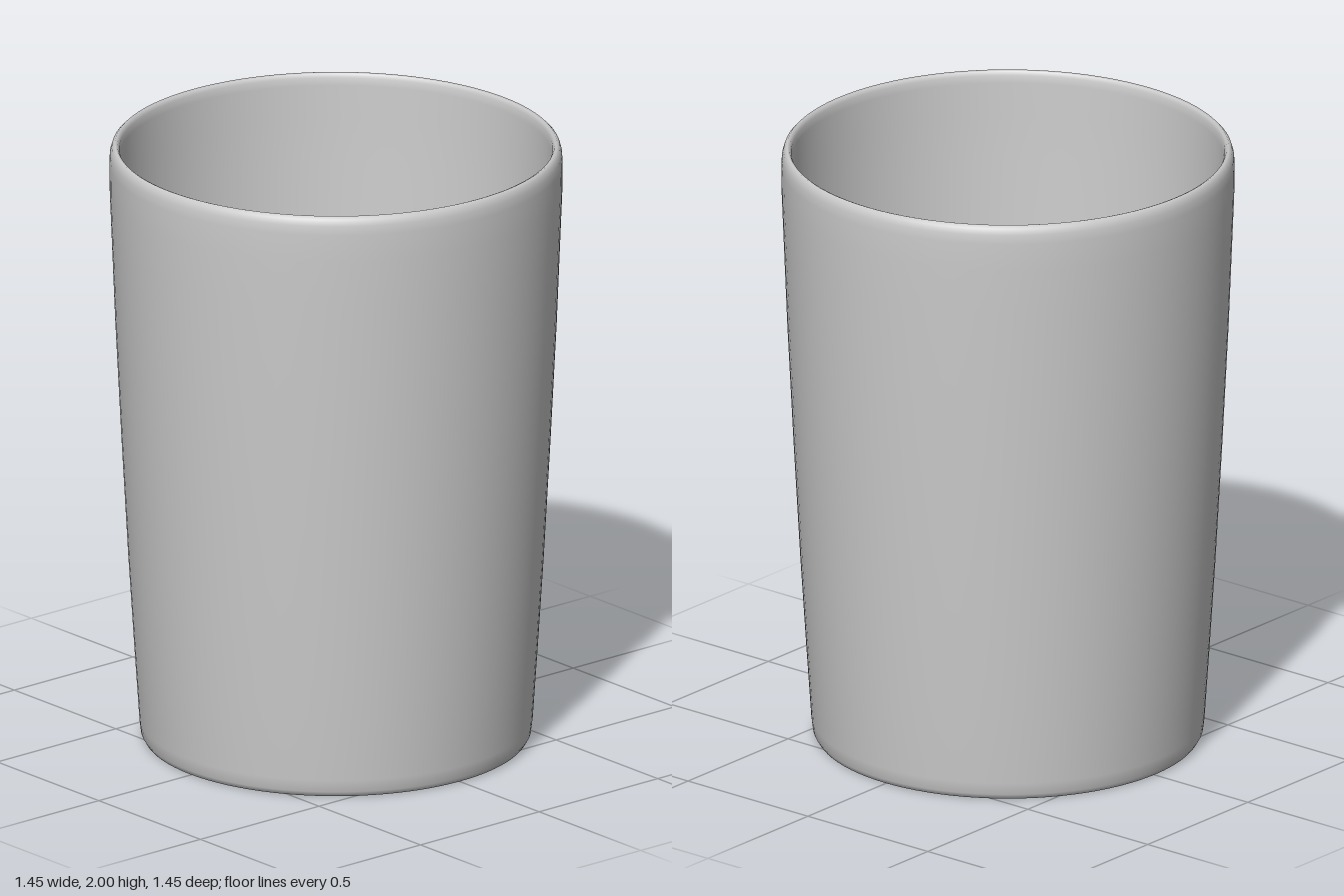
import * as THREE from 'three';

const material = new THREE.MeshStandardMaterial({ color: 0xcccccc, side: THREE.DoubleSide });

// Revolves a list of [radius, height] pairs around the y axis
function revolve(name, profile, segments) {
  const points = profile.map(([r, y]) => new THREE.Vector2(r, y));
  const mesh = new THREE.Mesh(new THREE.LatheGeometry(points, segments), material);
  mesh.name = name;
  return mesh;
}

export function createModel() {
  const group = new THREE.Group();
  group.name = 'tumbler';

  // Cup: underside, rounded foot, flared wall, rounded rim, inner wall and floor
  group.add(revolve('cup', [
    [0, 0], [0.6, 0], [0.615, 0.003], [0.625, 0.02], [0.63, 0.06],
    [0.646, 0.3], [0.665, 0.6], [0.687, 1], [0.707, 1.4], [0.719, 1.7], [0.725, 1.85], [0.726, 1.94],
    [0.724, 1.97], [0.718, 1.99], [0.708, 2], [0.7, 1.997], [0.694, 1.985], [0.692, 1.96],
    [0.69, 1.85], [0.685, 1.7], [0.673, 1.4], [0.655, 1], [0.633, 0.6], [0.614, 0.3],
    [0.6, 0.08], [0.58, 0.05], [0, 0.05],
  ], 96));

  // Filling, with its shading rounded over at the edge
  group.add(revolve('filling', [[0.598, 0.06], [0.645, 0.78], [0, 0.78]], 32));

  return group;
}
